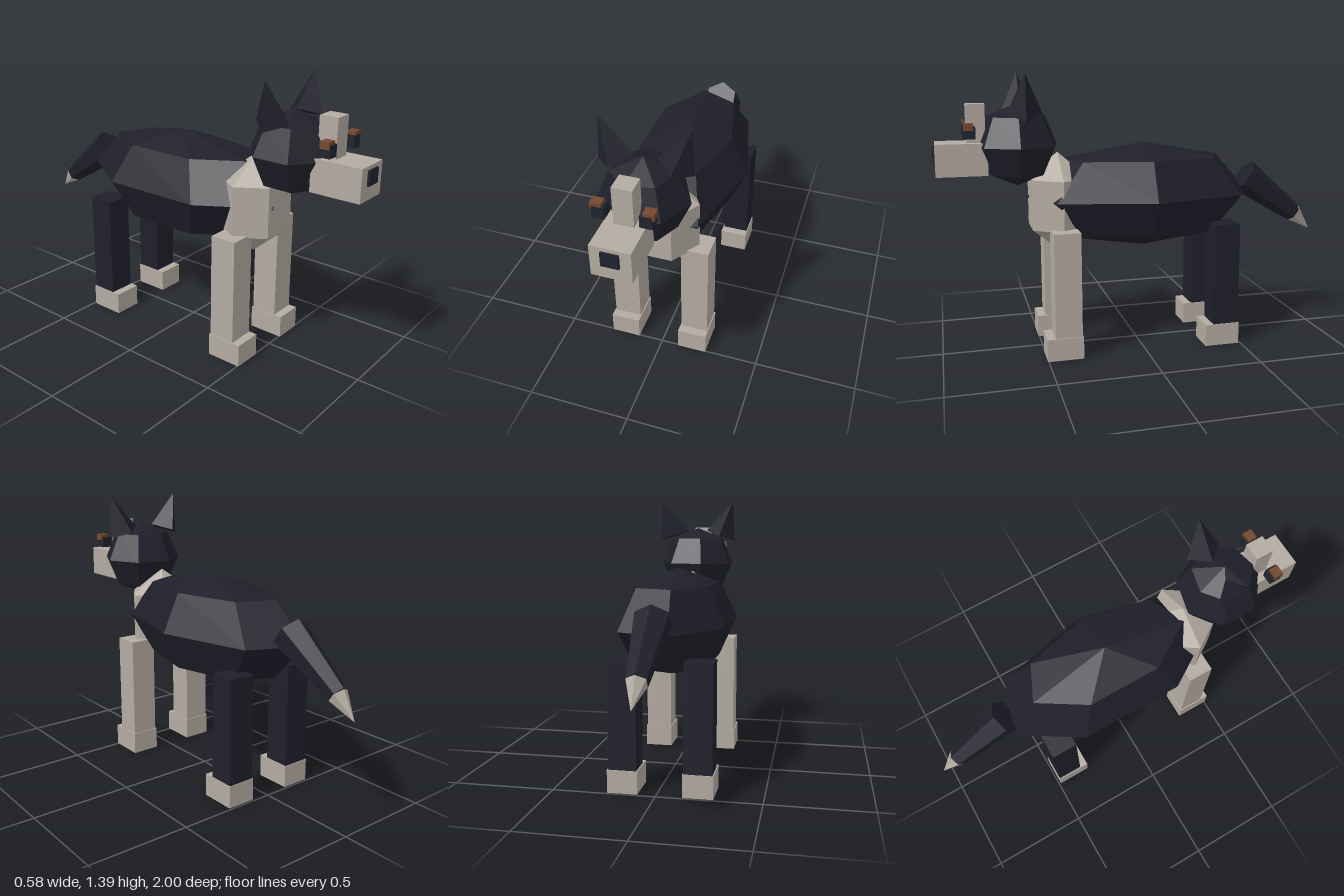
import * as THREE from 'three';

const CX = -0.018; // the animal's midline

export function createModel() {
  const model = new THREE.Group();
  model.name = 'dog';

  const material = (name, color) => {
    const m = new THREE.MeshStandardMaterial({ color, side: THREE.DoubleSide });
    m.name = name;
    return m;
  };
  const coat = material('dark coat', 0x1f1f2b);
  const cream = material('cream fur', 0xb3aba1);
  const black = material('nose and eye black', 0x1f232d);
  const brown = material('brown brow', 0x74492f);

  const add = (name, geometry, mat) => {
    const mesh = new THREE.Mesh(geometry, mat);
    mesh.name = name;
    model.add(mesh);
    return mesh;
  };

  // Split the faces so that every facet has its own normal
  const faceted = (geometry) => {
    const g = geometry.toNonIndexed();
    g.computeVertexNormals();
    return g;
  };

  // Faceted ellipsoid with a corner pointing to +x
  const ellipsoid = (name, mat, sides, rings, radii, centre) => {
    const g = new THREE.SphereGeometry(1, sides, rings);
    g.rotateY(Math.PI).scale(...radii).translate(...centre);
    return add(name, faceted(g), mat);
  };

  // Box given by its limits, with an open underside
  const openBox = (name, mat, [x0, x1], [y0, y1], [z0, z1]) => {
    const g = new THREE.BoxGeometry(x1 - x0, y1 - y0, z1 - z0);
    const index = Array.from(g.index.array);
    index.splice(18, 6);
    g.setIndex(index);
    g.clearGroups();
    g.translate((x0 + x1) / 2, (y0 + y1) / 2, (z0 + z1) / 2);
    return add(name, g, mat);
  };

  // Limits in x of a part set to one side of the midline
  const span = (side, inner, outer) =>
    side > 0 ? [CX + inner, CX + outer] : [CX - outer, CX - inner];

  // Six-sided tapered piece between two points
  const taper = (name, mat, from, to, r0, r1) => {
    const a = new THREE.Vector3(...from);
    const dir = new THREE.Vector3(...to).sub(a);
    const length = dir.length();
    const g = new THREE.CylinderGeometry(r1, r0, length, 6, 1);
    g.translate(0, length / 2, 0);
    const mesh = add(name, faceted(g), mat);
    mesh.quaternion.setFromUnitVectors(new THREE.Vector3(0, 1, 0), dir.normalize());
    mesh.position.copy(a);
    return mesh;
  };

  // Trunk, chest and head
  ellipsoid('body', coat, 7, 4, [0.303, 0.27, 0.605], [CX, 0.77, -0.04]);
  ellipsoid('chest', cream, 6, 3, [0.215, 0.25, 0.188], [CX, 0.75, 0.4]);
  ellipsoid('head', coat, 7, 4, [0.21, 0.2, 0.21], [CX, 1.04, 0.6]);

  // Face
  openBox('muzzle', cream, span(1, -0.09, 0.09), [0.905, 1.06], [0.745, 0.99]);
  openBox('blaze', cream, span(1, -0.045, 0.045), [1.04, 1.243], [0.75, 0.84]);
  openBox('nose', black, span(1, -0.04, 0.04), [0.972, 1.042], [0.94, 1.0]);

  for (const side of [1, -1]) {
    const label = side > 0 ? 'left' : 'right';

    openBox(label + 'Eye', black, span(side, 0.075, 0.13), [1.085, 1.142], [0.8, 0.858]);
    openBox(label + 'Brow', brown, span(side, 0.088, 0.138), [1.125, 1.158], [0.81, 0.855]);

    // Ear: four-sided cone leaning outwards
    const ear = add(label + 'Ear', faceted(new THREE.ConeGeometry(0.087, 0.205, 4)), coat);
    ear.position.set(CX + side * 0.17, 1.293, 0.572);
    ear.rotation.z = -side * 0.34;

    // Legs and paws
    const legX = span(side, 0.112, 0.248);
    const pawX = span(side, 0.107, 0.253);
    openBox(label + 'FrontLeg', cream, legX, [0.1, 0.635], [0.33, 0.463]);
    openBox(label + 'FrontPaw', cream, pawX, [0, 0.112], [0.325, 0.505]);
    openBox(label + 'HindLeg', coat, legX, [0.108, 0.635], [-0.486, -0.353]);
    openBox(label + 'HindPaw', cream, pawX, [0, 0.112], [-0.49, -0.31]);
  }

  // Tail with a pale tip
  taper('tail', coat, [CX, 0.842, -0.6], [CX, 0.625, -0.9], 0.09, 0.05);
  taper('tailTip', cream, [CX, 0.626, -0.898], [CX, 0.53, -1.0], 0.05, 0);

  return model;
}
